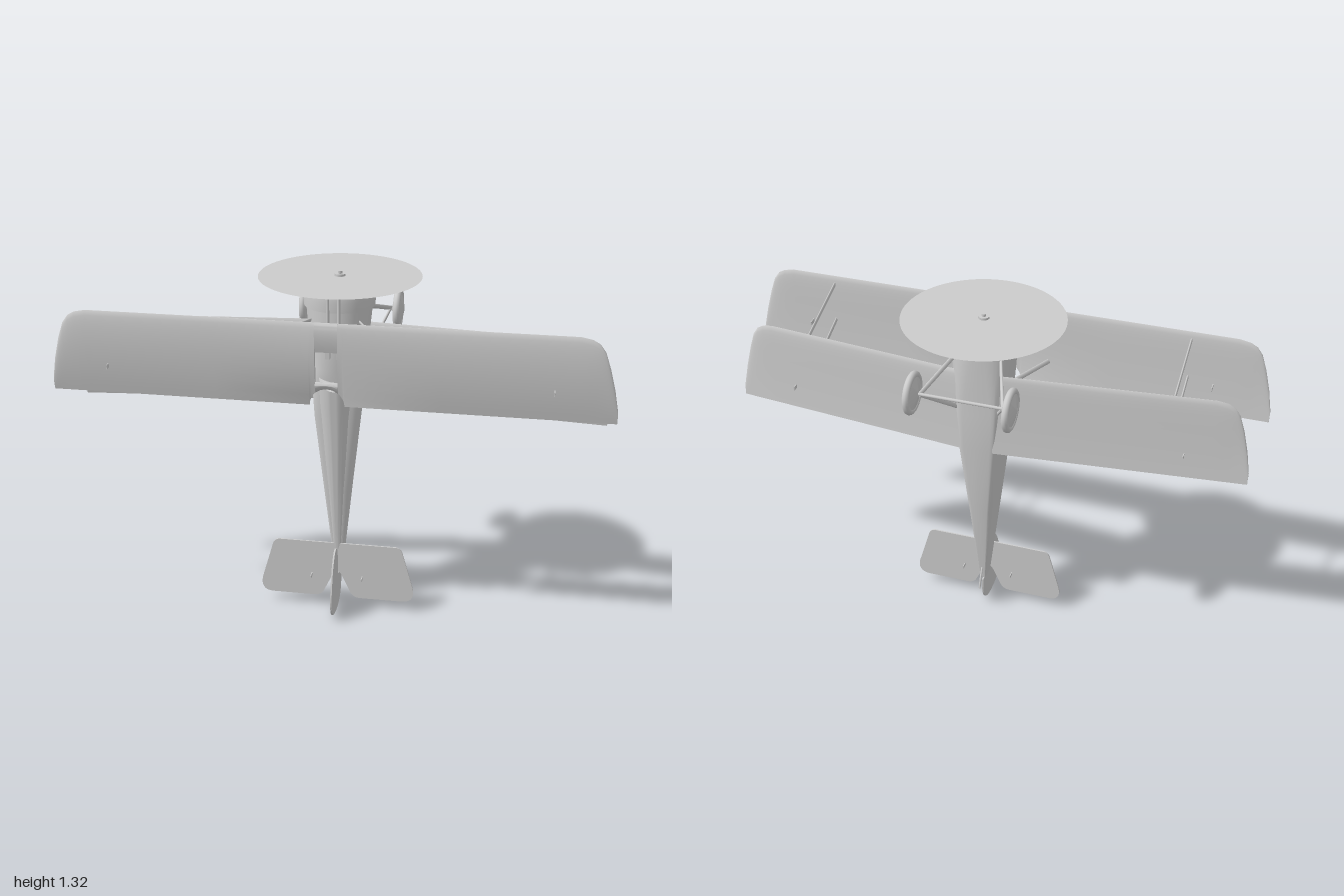
import * as THREE from 'three';
import { toCreasedNormals } from 'three/addons/utils/BufferGeometryUtils.js';

const V = (x, y, z) => new THREE.Vector3(x, y, z);

export function createModel() {
  const root = new THREE.Group();
  const mat = new THREE.MeshStandardMaterial({ color: 0xcccccc });
  const thin = new THREE.MeshStandardMaterial({ color: 0xcccccc, side: THREE.DoubleSide });

  function add(name, geo, x = 0, y = 0, z = 0, m = mat) {
    const mesh = new THREE.Mesh(geo, m);
    mesh.name = name;
    mesh.position.set(x, y, z);
    root.add(mesh);
    return mesh;
  }

  // Closed skin through a list of equal-length rings, capped at both ends
  function loft(rings, crease = 0.6) {
    const n = rings[0].length, last = rings.length - 1, pos = [], idx = [];
    rings.forEach(r => r.forEach(p => pos.push(p.x, p.y, p.z)));
    for (let i = 0; i < last; i++) for (let j = 0; j < n; j++) {
      const k = (j + 1) % n, a = i * n, b = a + n;
      idx.push(a + j, a + k, b + k, a + j, b + k, b + j);
    }
    [0, last].forEach(i => {
      const c = rings[i].reduce((s, p) => s.add(p), V(0, 0, 0)).divideScalar(n);
      const ci = pos.length / 3;
      pos.push(c.x, c.y, c.z);
      for (let j = 0; j < n; j++) {
        const k = (j + 1) % n;
        if (i) idx.push(ci, i * n + j, i * n + k);
        else idx.push(ci, k, j);
      }
    });
    const g = new THREE.BufferGeometry();
    g.setAttribute('position', new THREE.Float32BufferAttribute(pos, 3));
    g.setIndex(idx);
    return toCreasedNormals(g, crease);
  }

  // Body ring: half ellipse above mid, squarer (exponent n) below
  function bodyRing([y, w, top, mid, bot, n = 2]) {
    const pts = [], N = 40;
    for (let i = 0; i < N; i++) {
      const t = i / N * Math.PI * 2, s = Math.sin(t), c = Math.cos(t);
      const e = c < -1e-6 ? 2 / n : 1;
      pts.push(V(w * Math.sign(s) * Math.abs(s) ** e, y,
        mid + Math.sign(c) * Math.abs(c) ** e * (c > 0 ? top - mid : mid - bot)));
    }
    return pts;
  }

  // Fuselage and cowling
  add('fuselage', loft([
    [0.147, 0.012, 0.07, 0.06, 0, 8], [0.5, 0.047, 0.105, 0.092, -0.04, 8],
    [0.8, 0.078, 0.128, 0.11, -0.073, 8], [0.95, 0.09, 0.136, 0.1, -0.073, 7],
    [0.985, 0.094, 0.142, 0.07, -0.073, 6], [1.1, 0.108, 0.144, 0.045, -0.074, 3.5],
    [1.21, 0.12, 0.144, 0.025, -0.074, 2.3]].map(bodyRing)));
  add('cowling', loft([
    [1.205, 0.128, 0.144, 0.025, -0.074], [1.225, 0.13, 0.145, 0.02, -0.077],
    [1.24, 0.13, 0.145, 0.018, -0.09], [1.252, 0.13, 0.145, 0.015, -0.115],
    [1.268, 0.128, 0.143, 0.015, -0.113], [1.28, 0.121, 0.136, 0.015, -0.106],
    [1.287, 0.108, 0.123, 0.015, -0.093], [1.28, 0.095, 0.11, 0.015, -0.08],
    [1.255, 0.092, 0.107, 0.015, -0.077]].map(bodyRing)));

  // Rounded rear deck with a slanted headrest face
  const deck = [[0.147, 0.011, 0.078, 0.055, 0.03], [0.25, 0.02, 0.084, 0.06, 0.03],
    [0.55, 0.042, 0.12, 0.08, 0.05], [0.85, 0.06, 0.157, 0.1, 0.08]].map(bodyRing);
  const face = bodyRing([0, 0.063, 0.165, 0.105, 0.08]);
  face.forEach(p => { p.y = 0.98 - Math.max(0, p.z - 0.105) * 1.05; });
  add('headrestDeck', loft([...deck, face]));

  // Wing section between two y values, cambered along the whole chord
  function wingRing([x, y0, y1, k = 1], w) {
    const N = 12, th = 0.01 * k, top = [], low = [];
    for (let i = 0; i <= N; i++) {
      const u = (i / N) ** 1.6, y = y0 + (y1 - y0) * u, g = (w.lead - y) / w.chord;
      const z = w.z + w.rise * Math.abs(x) - 0.02 * g + 0.03 * g * (1 - g);
      const t = th * 2.6 * Math.sqrt(u) * (1 - u) + 0.0008;
      top.push(V(x, y, z + t));
      low.unshift(V(x, y, z - t));
    }
    return [...top, ...low];
  }
  const wingPart = (name, st, w) => add(name, loft(st.map(s => wingRing(s, w)), 0.9));
  const mirror = st => st.map(([x, ...r]) => [-x, ...r]).reverse();
  const tips = [[0.86, 0, 1], [0.9, 0.025, 0.95], [0.925, 0.07, 0.85], [0.945, 0.16, 0.75],
    [0.965, 0.35, 0.6], [0.985, 0.6, 0.4], [1, 0.86, 0.15]];
  const tipStations = (w, sx) => tips.map(([x, f, k]) =>
    [x * sx, w.lead - w.chord * f, w.lead - w.chord, k]);

  // Upper wing with centre window and rounded trailing cutout
  const up = { lead: 1.22, chord: 0.31, z: 0.298, rise: 0 };
  const cut = x => 0.91 + Math.sqrt(Math.max(0, 1 - (x / 0.062) ** 2)) * 0.065;
  const upper = [...[0.04, 0.048, 0.055, 0.06, 0.062].map(x => [x, 1.22, cut(x)]),
    [0.4, 1.22, 0.91], ...tipStations(up, 1)];
  wingPart('upperWingLeft', upper, up);
  wingPart('upperWingRight', mirror(upper), up);
  const centre = [-0.04, -0.02, 0, 0.02, 0.04];
  wingPart('upperWingCentreFront', centre.map(x => [x, 1.22, 1.113]), up);
  wingPart('upperWingCentreRear', centre.map(x => [x, 1.0, cut(x)]), up);

  // Lower wing with dihedral
  const dn = { lead: 1.12, chord: 0.32, z: -0.057, rise: 0.104 };
  const lower = [[0.06, 1.12, 0.8], [0.4, 1.12, 0.8], ...tipStations(dn, 0.975)];
  wingPart('lowerWingLeft', lower, dn);
  wingPart('lowerWingRight', mirror(lower), dn);

  // Streamlined rod between two points
  function strut(name, a, b, rx = 0.004, rz = 0.009) {
    const d = b.clone().sub(a), g = new THREE.CylinderGeometry(1, 1, 1, 10);
    g.scale(rx, d.length(), rz);
    const m = add(name, g);
    m.position.copy(a).lerp(b, 0.5);
    m.quaternion.setFromUnitVectors(V(0, 1, 0), d.normalize());
  }

  // Wheel parts, axle along x
  const hub = new THREE.LatheGeometry([[0, -0.024], [0.012, -0.022], [0.066, -0.008],
    [0.066, 0.008], [0.012, 0.022], [0, 0.024]].map(p => new THREE.Vector2(...p)), 32);
  hub.rotateZ(Math.PI / 2);
  const hubGeo = toCreasedNormals(hub, 0.5);
  const tyre = new THREE.TorusGeometry(0.066, 0.013, 10, 40).rotateY(Math.PI / 2);

  for (const s of [1, -1]) {
    strut('frontInterplaneStrut', V(s * 0.69, 1.19, 0.298), V(s * 0.69, 1.095, 0.015));
    strut('rearInterplaneStrut', V(s * 0.69, 1.04, 0.29), V(s * 0.69, 0.93, 0.01));
    strut('frontCabaneStrut', V(s * 0.17, 1.175, 0.3), V(s * 0.09, 1.167, 0.115));
    strut('rearCabaneStrut', V(s * 0.17, 1.01, 0.29), V(s * 0.085, 1.01, 0.11));
    strut('frontGearStrut', V(s * 0.08, 1.185, -0.04), V(s * 0.15, 1.115, -0.24), 0.005, 0.009);
    strut('rearGearStrut', V(s * 0.075, 0.965, -0.05), V(s * 0.15, 1.115, -0.24), 0.005, 0.009);
    add('wheelDisc', hubGeo, s * 0.178, 1.115, -0.24);
    add('tyre', tyre, s * 0.178, 1.115, -0.24);
    // Control horns
    add('upperAileronHorn', new THREE.BoxGeometry(0.003, 0.015, 0.07), s * 0.785, 1.02, 0.288);
    add('lowerAileronHorn', new THREE.BoxGeometry(0.003, 0.015, 0.055), s * 0.745, 0.89, 0.01);
    add('elevatorHorn', new THREE.BoxGeometry(0.003, 0.012, 0.065), s * 0.098, 0.13, 0.08);
    // Guns
    add('gunBarrel', new THREE.CylinderGeometry(0.006, 0.006, 0.13, 10), s * 0.02, 1.22, 0.156);
    add('gunMuzzle', new THREE.CylinderGeometry(0.008, 0.008, 0.02, 10), s * 0.02, 1.277, 0.156);
    add('gunBody', new THREE.BoxGeometry(0.016, 0.12, 0.03), s * 0.02, 1.1, 0.147);
  }
  strut('axle', V(-0.18, 1.115, -0.24), V(0.18, 1.115, -0.24), 0.006, 0.006);

  // Tailplane
  const plate = (shape, d) => {
    const g = new THREE.ExtrudeGeometry(shape, { depth: d, bevelEnabled: false, curveSegments: 10 });
    return g.translate(0, 0, -d / 2);
  };
  const tail = new THREE.Shape();
  tail.moveTo(0, 0.27);
  for (const s of [1, -1]) {
    const p = [[0.225, 0.27], [0.243, 0.268, 0.25, 0.25], [0.293, 0.1], [0.305, 0.04, 0.25, 0.04],
      [0.09, 0.04], [0.065, 0.04, 0.053, 0.06], [0.02, 0.13], [0.014, 0.145, 0, 0.15]];
    if (s < 0) { // walk the mirrored side backwards to the start
      tail.quadraticCurveTo(-0.014, 0.145, -0.02, 0.13);
      tail.lineTo(-0.053, 0.06);
      tail.quadraticCurveTo(-0.065, 0.04, -0.09, 0.04);
      tail.lineTo(-0.25, 0.04);
      tail.quadraticCurveTo(-0.305, 0.04, -0.293, 0.1);
      tail.lineTo(-0.25, 0.25);
      tail.quadraticCurveTo(-0.243, 0.268, -0.225, 0.27);
    } else p.forEach(q => q.length > 2 ? tail.quadraticCurveTo(...q) : tail.lineTo(...q));
  }
  add('tailplane', plate(tail, 0.006), 0, 0, 0.08);

  // Fin and rudder in one outline (z, y)
  const fin = new THREE.Shape();
  fin.moveTo(0.075, 0.137);
  fin.lineTo(0.0, 0.132);
  fin.bezierCurveTo(0.002, 0.06, 0.012, 0.005, 0.1, 0.0);
  fin.bezierCurveTo(0.18, 0.0, 0.22, 0.02, 0.22, 0.085);
  fin.bezierCurveTo(0.218, 0.15, 0.175, 0.265, 0.12, 0.265);
  fin.quadraticCurveTo(0.1, 0.262, 0.085, 0.22);
  fin.lineTo(0.075, 0.137);
  add('finAndRudder', plate(fin, 0.006).rotateY(-Math.PI / 2));

  // Tail skid
  const skid = new THREE.CatmullRomCurve3([V(0, 0.215, 0.005), V(0, 0.18, -0.014), V(0, 0.15, -0.028), V(0, 0.117, -0.037)]);
  add('tailSkid', new THREE.TubeGeometry(skid, 10, 0.004, 8));

  // Spinning propeller disc and hub
  add('propellerDisc', new THREE.CircleGeometry(0.294, 64).rotateX(-Math.PI / 2), 0, 1.307, 0.012, thin);
  add('propellerShaft', new THREE.CylinderGeometry(0.008, 0.008, 0.075, 16), 0, 1.287, 0.015);
  add('propellerHub', new THREE.CylinderGeometry(0.02, 0.02, 0.012, 20), 0, 1.309, 0.015);
  return root;
}
